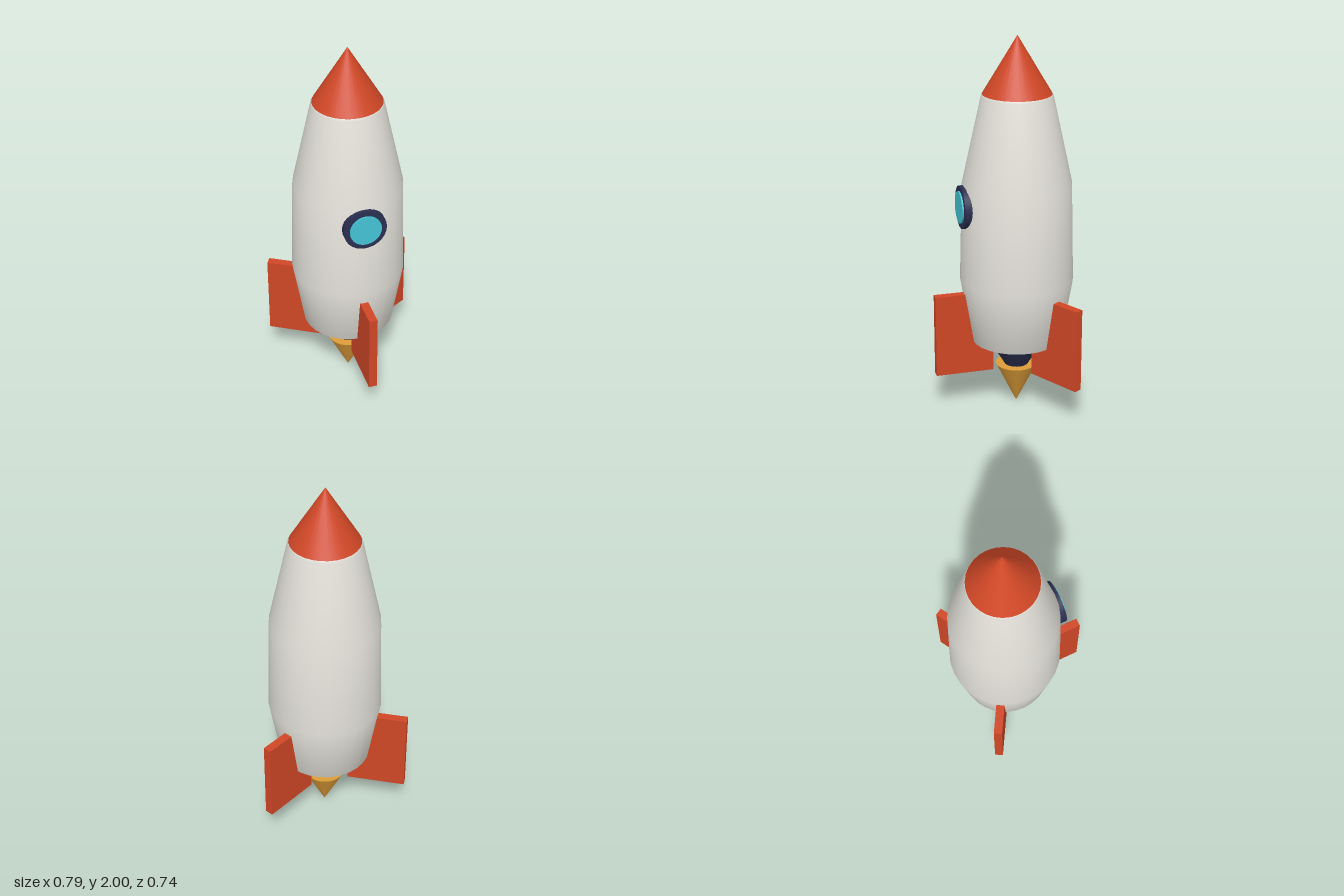
import * as THREE from 'three';

const SEG = 28;

function material(name, color) {
  const m = new THREE.MeshStandardMaterial({ color });
  m.name = name;
  return m;
}

export function createModel() {
  const white = material('warm white', 0xe6e4dc);
  const red = material('rocket red', 0xd04726);
  const navy = material('dark navy', 0x2b2f50);
  const cyan = material('window cyan', 0x45c4d6);
  const gold = material('flame gold', 0xdc9c38);

  const model = new THREE.Group();
  model.name = 'rocket';

  // Everything hangs on the hull axis, which sits slightly behind the centre
  const rocket = new THREE.Group();
  rocket.name = 'rocketAxis';
  rocket.position.z = -0.074;
  model.add(rocket);

  function add(name, geometry, mat, x, y, z, parent = rocket) {
    const mesh = new THREE.Mesh(geometry, mat);
    mesh.name = name;
    mesh.position.set(x, y, z);
    parent.add(mesh);
    return mesh;
  }

  // Hull
  const profile = [
    [0, 0.36], [0.14, 0.36], [0.24, 0.38], [0.297, 0.72],
    [0.283, 1.24], [0.183, 1.695], [0.178, 1.705],
  ].map(([r, y]) => new THREE.Vector2(r, y));
  add('hull', new THREE.LatheGeometry(profile, SEG), white, 0, 0, 0);

  // Nose cone
  add('noseCone', new THREE.ConeGeometry(0.18, 0.3, SEG), red, 0, 1.85, 0);

  // Engine nozzle and the flame pointing down below it
  add('nozzle', new THREE.CylinderGeometry(0.15, 0.06, 0.15, SEG), navy, 0, 0.295, 0);
  const flame = add('flame', new THREE.ConeGeometry(0.11, 0.226, SEG), gold, 0, 0.113, 0);
  flame.rotation.x = Math.PI;

  // Porthole: frame and glass
  const frame = add('windowFrame', new THREE.CylinderGeometry(0.112, 0.112, 0.06, SEG), navy, 0, 1.13, 0.27);
  const glass = add('windowGlass', new THREE.CylinderGeometry(0.083, 0.083, 0.009, SEG), cyan, 0, 1.13, 0.304);
  frame.rotation.x = glass.rotation.x = Math.PI / 2;

  // Three fins around the hull, the first facing forward
  for (let i = 0; i < 3; i++) {
    const pivot = new THREE.Group();
    pivot.name = 'finPivot' + (i + 1);
    pivot.rotation.y = (i * 2 * Math.PI) / 3;
    rocket.add(pivot);
    add('fin', new THREE.BoxGeometry(0.044, 0.445, 0.31), red, 0, 0.431, 0.287, pivot);
  }

  return model;
}
